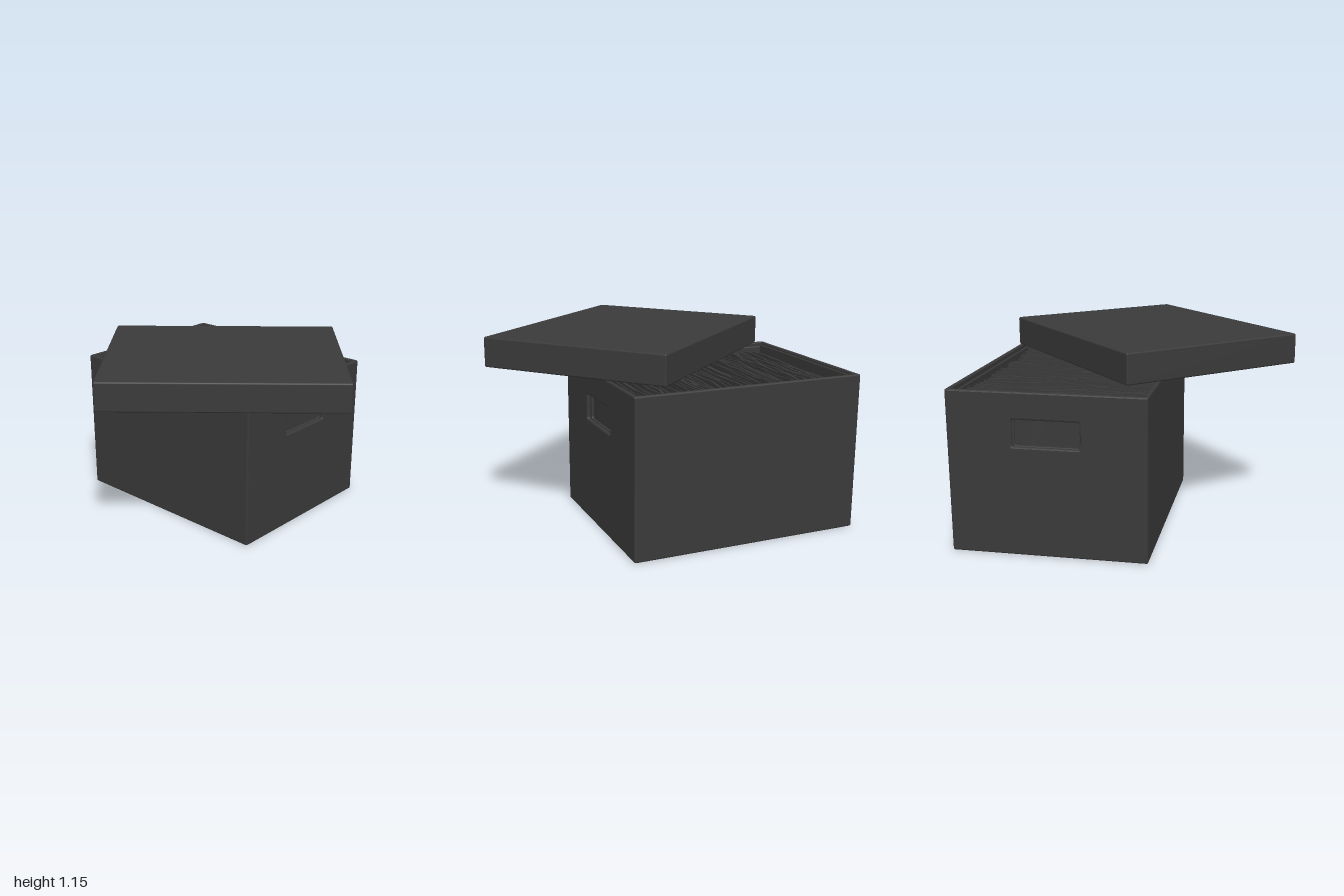
import * as THREE from 'three';
import { RoundedBoxGeometry } from 'three/addons/geometries/RoundedBoxGeometry.js';
import { mergeGeometries } from 'three/addons/utils/BufferGeometryUtils.js';

const W = 1.42, H = 0.945, D = 1.13;          // carton size
const LW = 1.445, LH = 0.18, LD = 1.173;      // lid size
const material = new THREE.MeshStandardMaterial({ color: 0x3a3a3a, side: THREE.DoubleSide });

function add(parent, name, geometry, x = 0, y = 0, z = 0) {
  const mesh = new THREE.Mesh(geometry, material);
  mesh.name = name;
  mesh.position.set(x, y, z);
  parent.add(mesh);
  return mesh;
}

const panel = (w, h, d) => new RoundedBoxGeometry(w, h, d, 2, 0.01);

function rect(path, w, y0, y1, r) {
  const x = w / 2;
  path.moveTo(-x + r, y0);
  path.lineTo(x - r, y0);
  path.quadraticCurveTo(x, y0, x, y0 + r);
  path.lineTo(x, y1 - r);
  path.quadraticCurveTo(x, y1, x - r, y1);
  path.lineTo(-x + r, y1);
  path.quadraticCurveTo(-x, y1, -x, y1 - r);
  path.lineTo(-x, y0 + r);
  path.quadraticCurveTo(-x, y0, -x + r, y0);
  return path;
}

// Upright end wall with a hand hole, thickness centred on x = 0
function endWall(width, y0, y1, thick, bevel, hole) {
  const shape = rect(new THREE.Shape(), width - 2 * bevel, y0 + bevel, y1 - bevel, 0.004);
  shape.holes.push(rect(new THREE.Path(), hole.w + 2 * bevel, hole.y0 - bevel, hole.y1 + bevel, 0.02));
  const g = new THREE.ExtrudeGeometry(shape, {
    depth: thick - 2 * bevel, bevelThickness: bevel, bevelSize: bevel, bevelSegments: 2, curveSegments: 4
  });
  g.translate(0, 0, -(thick - 2 * bevel) / 2);
  return g.rotateY(Math.PI / 2);
}

function buildCarton() {
  const carton = new THREE.Group();
  carton.name = 'carton';
  const t = 0.026, lt = 0.016;
  add(carton, 'floor', panel(W, t, D), 0, t / 2, 0);
  for (const s of [-1, 1]) {
    add(carton, s > 0 ? 'frontWall' : 'backWall', panel(W, H, t), 0, H / 2, s * (D - t) / 2);
    add(carton, 'longLiner', panel(W - 2 * t, H - 0.035, lt), 0, (H - 0.015) / 2, s * (D / 2 - t - lt / 2));
    add(carton, s > 0 ? 'leftWall' : 'rightWall',
      endWall(D, 0, H, t, 0.009, { w: 0.385, y0: 0.635, y1: 0.79 }), s * (W - t) / 2);
    add(carton, 'endLiner',
      endWall(D - 2 * t, 0.01, H - 0.015, lt, 0.004, { w: 0.365, y0: 0.637, y1: 0.782 }), s * (W / 2 - t - lt / 2));
  }
  return carton;
}

// Upright sheets packed side by side, each slightly wavy and uneven in height
function buildPapers() {
  let seed = 7;
  const rnd = () => (seed = (seed * 16807) % 2147483647) / 2147483647;
  const count = 96, span = W - 0.115, sheets = [];
  for (let i = 0; i < count; i++) {
    const h = 0.82 + rnd() * 0.055, d = 1.0 + rnd() * 0.025;
    const g = new THREE.BoxGeometry(0.006 + rnd() * 0.008, h, d, 1, 2, 10);
    const p = g.attributes.position;
    const phase = rnd() * 6.28, freq = 4 + rnd() * 9, amp = 0.004 + rnd() * 0.006;
    const slope = (rnd() - 0.5) * 0.03, lean = (rnd() - 0.5) * 0.02;
    for (let k = 0; k < p.count; k++) {
      const y = p.getY(k), z = p.getZ(k), up = y / h + 0.5;
      p.setX(k, p.getX(k) + up * (amp * Math.sin(z * freq + phase) + lean));
      p.setY(k, y + up * (slope * z + 0.006 * Math.sin(z * freq * 1.7 + phase)));
    }
    g.computeVertexNormals();
    g.translate(-span / 2 + span * (i + 0.5) / count, 0.026 + h / 2, (rnd() - 0.5) * 0.02);
    sheets.push(g);
  }
  return mergeGeometries(sheets);
}

function buildLid() {
  const lid = new THREE.Group();
  lid.name = 'lid';
  const t = 0.028;
  add(lid, 'lidTop', panel(LW, t, LD), 0, LH - t / 2, 0);
  for (const s of [-1, 1]) {
    add(lid, 'lidLongSide', panel(LW, LH, t), 0, LH / 2, s * (LD - t) / 2);
    add(lid, 'lidShortSide', panel(t, LH, LD), s * (LW - t) / 2, LH / 2, 0);
  }
  return lid;
}

export function createModel() {
  const model = new THREE.Group();
  model.name = 'storageBox';

  const carton = buildCarton();
  add(carton, 'papers', buildPapers());
  carton.position.set(-0.29, 0, -0.37);
  model.add(carton);

  // Lid lies askew just above the rim
  const lid = buildLid();
  lid.position.set(0.068, 0.97, 0.018);
  lid.rotation.y = THREE.MathUtils.degToRad(41.3);
  model.add(lid);
  return model;
}
